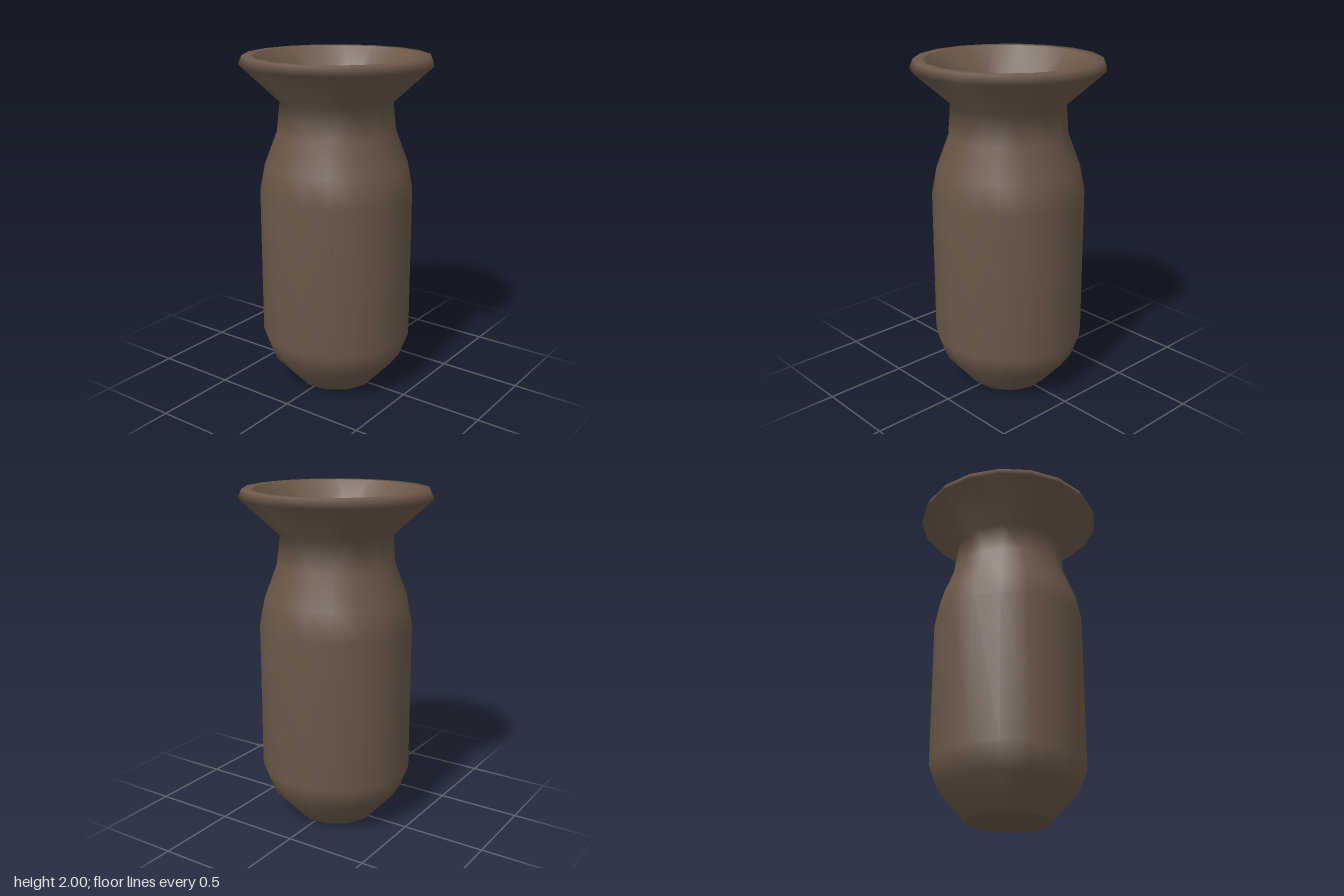
import * as THREE from 'three';

const TAU = Math.PI * 2;
const TWIST = THREE.MathUtils.degToRad(-9.5); // turn of the 12-sided rings

// A ring is [radius, height, sides]; 12-sided rings are slightly twisted.
const phase = (sides) => (sides === 12 ? TWIST : 0);

// Smooth skin through rings whose side counts may differ.
function skin(rings) {
  const pos = [], index = [], start = [];
  for (const [r, y, n] of rings) {
    start.push(pos.length / 3);
    for (let i = 0; i < n; i++) {
      const a = phase(n) + (i / n) * TAU;
      pos.push(r * Math.sin(a), y, r * Math.cos(a));
    }
  }
  for (let k = 0; k + 1 < rings.length; k++) {
    const n = rings[k][2], m = rings[k + 1][2];
    const A = (i) => start[k] + (i % n), B = (j) => start[k + 1] + (j % m);
    let i = 0, j = 0;
    while (i < n || j < m) {
      const a = phase(n) + ((i + 0.5) / n) * TAU;
      const b = phase(m) + ((j + 0.5) / m) * TAU;
      if (i < n && (j === m || a <= b)) {
        index.push(A(i), A(i + 1), B(j));
        i++;
      } else {
        index.push(A(i), B(j + 1), B(j));
        j++;
      }
    }
  }
  const g = new THREE.BufferGeometry();
  g.setAttribute('position', new THREE.Float32BufferAttribute(pos, 3));
  g.setIndex(index);
  g.computeVertexNormals();
  return g;
}

export function createModel() {
  const vase = new THREE.Group();
  vase.name = 'vase';
  const clay = new THREE.MeshStandardMaterial({ color: 0x6b5848 });
  clay.name = 'brown clay';

  const add = (name, geometry) => {
    const mesh = new THREE.Mesh(geometry, clay);
    mesh.name = name;
    vase.add(mesh);
  };

  // Outside: foot, belly, shoulder, neck, flared mouth and rounded lip
  add('outerWall', skin([
    [0.242, 0, 12], [0.4, 0.18, 18], [0.453, 0.325, 18], [0.453, 1.21, 18],
    [0.422, 1.37, 18], [0.348, 1.565, 18], [0.335, 1.745, 12],
    [0.559, 1.95, 18], [0.538, 2, 18], [0.482, 2, 18],
  ]));

  // Inside: funnel, throat and hollow belly
  add('innerWall', skin([
    [0.482, 2, 18], [0.28, 1.785, 12], [0.295, 1.56, 18], [0.37, 1.35, 18],
    [0.4, 1.2, 18], [0.4, 0.34, 18], [0.355, 0.21, 18], [0.207, 0.05, 12],
  ]));

  // Flat base and inner floor
  add('base', new THREE.CircleGeometry(0.242, 12, -TWIST).rotateX(Math.PI / 2));
  add('innerFloor',
    new THREE.CircleGeometry(0.207, 12, TWIST).rotateX(-Math.PI / 2).translate(0, 0.05, 0));

  return vase;
}
